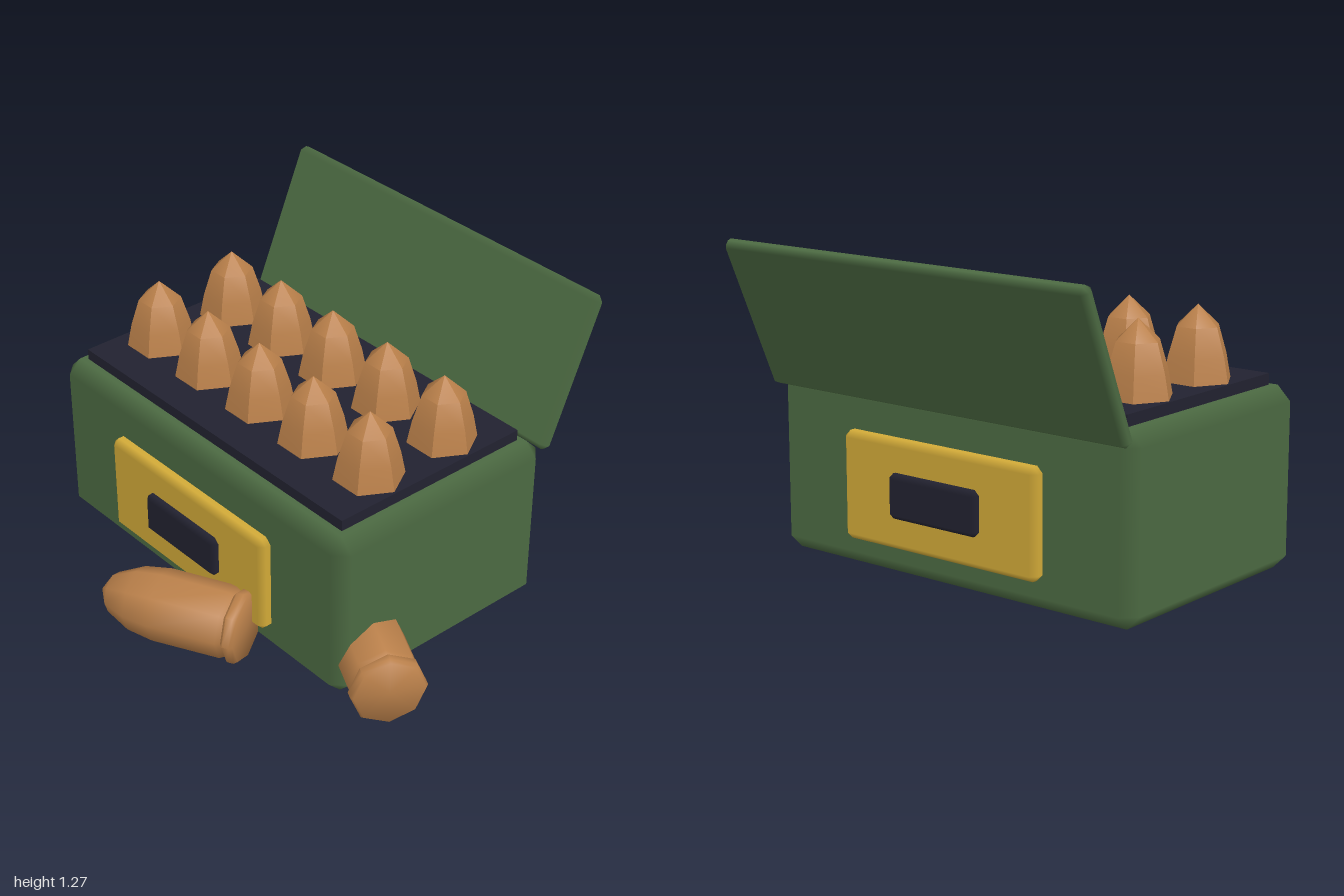
import * as THREE from 'three';
import { toCreasedNormals } from 'three/addons/utils/BufferGeometryUtils.js';
import { ConvexGeometry } from 'three/addons/geometries/ConvexGeometry.js';

const material = (name, color) => Object.assign(new THREE.MeshStandardMaterial({ color }), { name });

// Box with single-step chamfers, flat main faces and softly blended chamfers
function chamferBox(w, h, d, c) {
  const half = [w / 2, h / 2, d / 2];
  const points = [];
  for (const sx of [-1, 1]) for (const sy of [-1, 1]) for (const sz of [-1, 1]) {
    const s = [sx, sy, sz];
    for (let axis = 0; axis < 3; axis++) {
      points.push(new THREE.Vector3(...half.map((v, i) => s[i] * (i === axis ? v : v - c))));
    }
  }
  const geometry = new ConvexGeometry(points);
  const pos = geometry.attributes.position, normal = geometry.attributes.normal;
  for (let i = 0; i < pos.count; i++) {
    const p = [pos.getX(i), pos.getY(i), pos.getZ(i)];
    normal.setXYZ(i, ...p.map((v, k) => (Math.abs(Math.abs(v) - half[k]) < 1e-5 ? Math.sign(v) : 0)));
  }
  return geometry;
}

function turned(profile, sides, start = 0) {
  const points = profile.map(([r, y]) => new THREE.Vector2(r, y));
  return toCreasedNormals(new THREE.LatheGeometry(points, sides, start), 1.0);
}

export function createModel() {
  const green = material('olive green', 0x4c6a42);
  const gold = material('gold', 0xd2aa38);
  const dark = material('dark slate', 0x222230);
  const copper = material('copper', 0xba804a);

  const model = new THREE.Group();
  model.name = 'ammoBox';
  const add = (name, geometry, mat, x, y, z) => {
    const mesh = new THREE.Mesh(geometry, mat);
    mesh.name = name;
    mesh.position.set(x, y, z);
    model.add(mesh);
    return mesh;
  };

  // Box body, open lid and the tray
  const cx = -0.14, cz = -0.08;
  add('body', chamferBox(1.72, 0.72, 1.06, 0.057), green, cx, 0.36, cz);
  const lid = add('lid', chamferBox(1.72, 0.64, 0.06, 0.022), green, cx, 0.968, -0.735);
  lid.rotation.x = -0.405;
  add('tray', new THREE.BoxGeometry(1.555, 0.085, 0.9), dark, cx, 0.7225, cz);

  // Plates and latches on front and back
  for (const [side, s] of [['front', 1], ['back', -1]]) {
    add(side + 'Plate', chamferBox(0.94, 0.425, 0.1, 0.025), gold, cx, 0.333, cz + s * 0.528);
    add(side + 'Latch', chamferBox(0.43, 0.175, 0.08, 0.02), dark, cx, 0.336, cz + s * 0.568);
  }

  // Standing rounds, two rows of five
  const standing = turned([[0.143, 0.74], [0.139, 0.765], [0.12, 0.86], [0.086, 0.97], [0, 1.05]], 6, Math.PI / 2);
  for (const z of [0.105, -0.27]) {
    for (let i = 0; i < 5; i++) add('standingRound', standing, copper, -0.77 + i * 0.315, 0, z);
  }

  // Loose rounds lying on the ground
  const loose = turned([
    [0, 0], [0.14, 0], [0.15, 0.014], [0.15, 0.042], [0.132, 0.055], [0.143, 0.075],
    [0.145, 0.36], [0.128, 0.47], [0.08, 0.57], [0, 0.62],
  ], 8).rotateZ(Math.PI / 2);
  add('looseRoundFront', loose, copper, 0.293, 0.154, 0.538).rotation.y = 0.47;
  add('looseRoundSide', loose, copper, 0.93, 0.154, 0.385).rotation.y = -0.464;

  return model;
}
